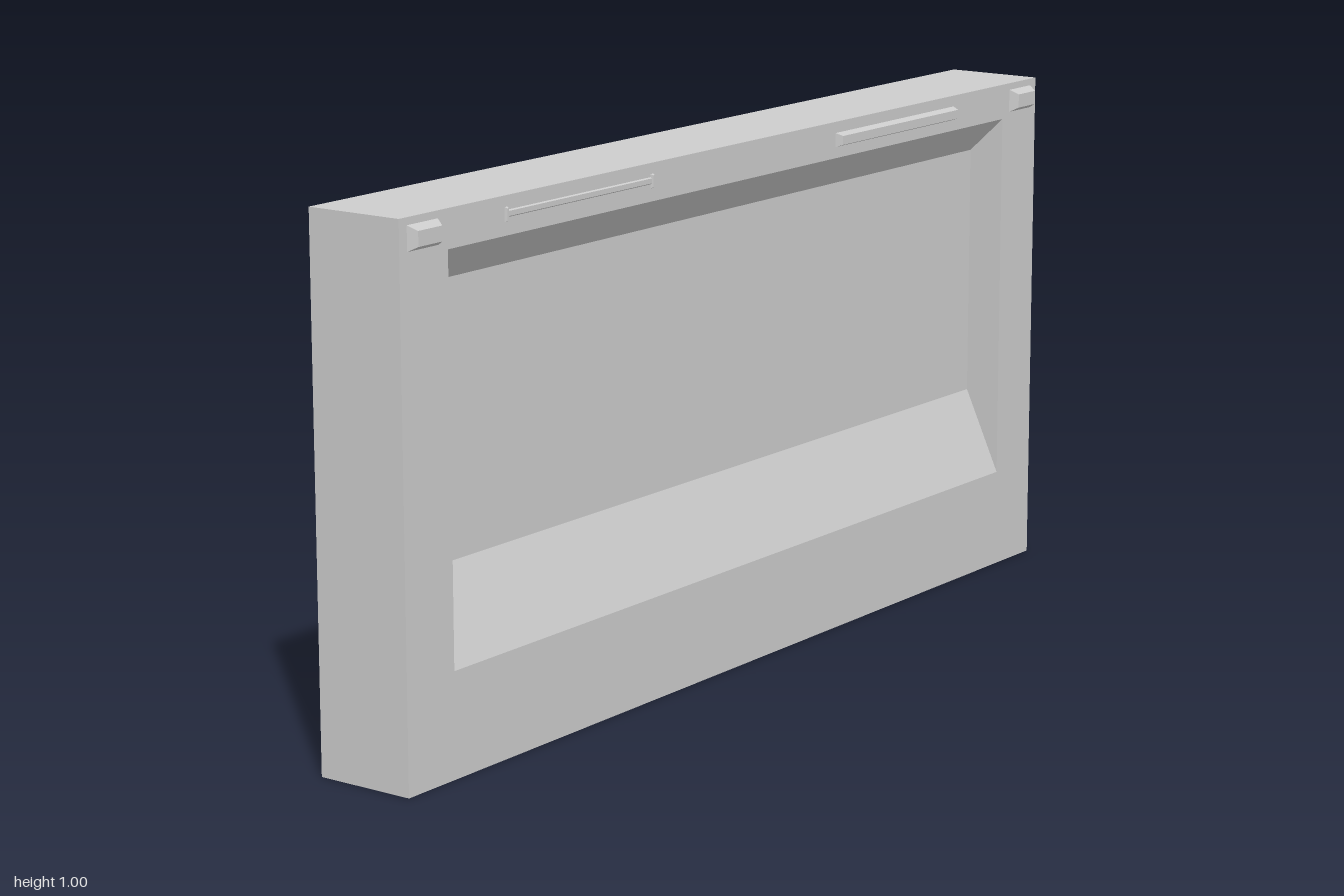
import * as THREE from 'three';

const FRONT = 0.09, BACK = -0.107, TIP = 0.107;

// Corners of an upright rectangle, anticlockwise as seen from the front
const rect = (x0, x1, y0, y1, z) => [[x0, y0, z], [x1, y0, z], [x1, y1, z], [x0, y1, z]];

// Four walls joining rectangle a to rectangle b, optionally closed at b
function loft(a, b, capped) {
  const pos = [];
  const quad = (p, q, r, s) => pos.push(...p, ...q, ...r, ...p, ...r, ...s);
  for (let i = 0; i < 4; i++) {
    const j = (i + 1) % 4;
    quad(a[i], a[j], b[j], b[i]);
  }
  if (capped) quad(...b);
  const g = new THREE.BufferGeometry();
  g.setAttribute('position', new THREE.Float32BufferAttribute(pos, 3));
  g.computeVertexNormals();
  return g;
}

export function createModel() {
  const group = new THREE.Group();
  const grey = new THREE.MeshStandardMaterial({ color: 0xcccccc, side: THREE.DoubleSide });
  grey.name = 'panelGrey';
  const add = (name, geometry) => {
    const m = new THREE.Mesh(geometry, grey);
    m.name = name;
    group.add(m);
    return m;
  };

  // Thin outer walls, open at the back
  add('outerWalls', loft(rect(-1, 1, 0, 1, BACK), rect(-1, 1, 0, 1, FRONT)));

  // Front frame around the recess opening
  const toPoints = (r) => r.map(([x, y]) => new THREE.Vector2(x, y));
  const opening = rect(-0.875, 0.875, 0.195, 0.93, FRONT);
  const frame = new THREE.Shape(toPoints(rect(-1, 1, 0, 1, FRONT)));
  frame.holes.push(new THREE.Path(toPoints(opening).reverse()));
  add('frontFrame', new THREE.ShapeGeometry(frame)).position.z = FRONT;

  // Recessed panel with sloping top and bottom
  add('recess', loft(opening, rect(-0.875, 0.875, 0.36, 0.86, 0.015), true));

  // Tapered raised pad on the front
  const pad = (name, x, y, w, h, taper, tip) => add(name, loft(
    rect(x - w / 2, x + w / 2, y - h / 2, y + h / 2, FRONT),
    rect(x - w / 2 + taper, x + w / 2 - taper, y - h / 2 + taper, y + h / 2 - taper, tip), true));

  // Corner buttons
  for (const s of [-1, 1]) {
    pad(s > 0 ? 'leftButton' : 'rightButton', s * 0.94, 0.964, 0.08, 0.045, 0.009, TIP);
  }

  // Raised rail and its nearly flush counterpart
  pad('raisedRail', 0.483, 0.965, 0.415, 0.027, 0.005, 0.104);
  pad('flushRail', -0.513, 0.968, 0.415, 0.013, 0.002, 0.093);
  for (const x of [-0.72, -0.307]) {
    pad('railEnd', x, 0.967, 0.008, 0.026, 0.002, 0.095);
  }

  return group;
}
